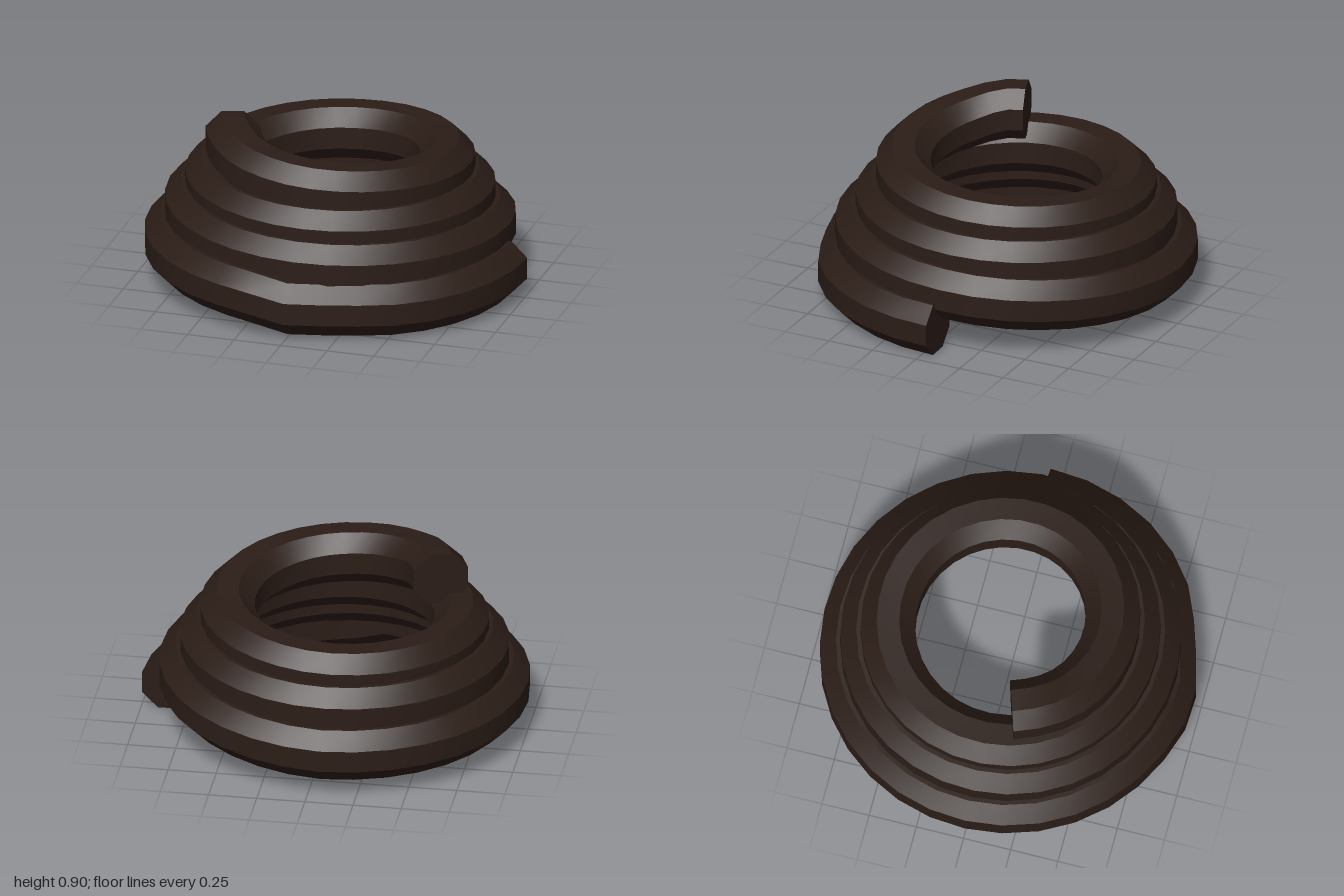
import * as THREE from 'three';
import { toCreasedNormals } from 'three/addons/utils/BufferGeometryUtils.js';

const SIDES = 8;              // octagonal rope section
const APOTHEM = 0.14;
const STEPS_PER_TURN = 32;
const START = -0.004, END = 3.45;   // in turns, from +x towards +z
const CENTRE_X = -0.026, CENTRE_Z = -0.03;

// Height of the rope's centre line: [turn, y]
const HEIGHT = [
  [-0.01, 0.14], [0.1, 0.147], [0.245, 0.16], [0.28, 0.2], [0.5, 0.215], [0.75, 0.225],
  [1, 0.31], [1.25, 0.355], [1.5, 0.4], [1.75, 0.42], [2, 0.465], [2.25, 0.5],
  [2.5, 0.535], [2.75, 0.565], [3, 0.62], [3.25, 0.685], [3.35, 0.72], [3.41, 0.758], [3.46, 0.76],
];

// Coil radius: a loose first quarter turn, then a steady inward spiral
const RADIUS = [
  [-0.01, 0.882], [0.08, 0.878], [0.143, 0.868], [0.2, 0.828], [0.245, 0.86],
  [0.28, 0.868], [0.31, 0.854], [0.5, 0.835], [3.46, 0.525],
];

function sample(knots, t) {
  let i = 0;
  while (i < knots.length - 2 && t > knots[i + 1][0]) i++;
  const [t0, v0] = knots[i], [t1, v1] = knots[i + 1];
  return THREE.MathUtils.mapLinear(t, t0, t1, v0, v1);
}

// Sweep the octagon along the spiral and close both ends
function coilGeometry() {
  const steps = Math.round((END - START) * STEPS_PER_TURN);
  const corner = APOTHEM / Math.cos(Math.PI / SIDES);
  const points = [], index = [];

  const addPoint = (t, u, v) => {
    const a = t * Math.PI * 2;
    const r = sample(RADIUS, t) + u;
    points.push(CENTRE_X + r * Math.cos(a), sample(HEIGHT, t) + v, CENTRE_Z + r * Math.sin(a));
  };

  for (let i = 0; i <= steps; i++) {
    const t = START + (END - START) * i / steps;
    for (let j = 0; j < SIDES; j++) {
      const b = (j + 0.5) / SIDES * Math.PI * 2;
      addPoint(t, corner * Math.cos(b), corner * Math.sin(b));
    }
  }
  for (let i = 0; i < steps; i++) {
    for (let j = 0; j < SIDES; j++) {
      const a = i * SIDES + j, b = i * SIDES + (j + 1) % SIDES;
      index.push(a, b, a + SIDES, b, b + SIDES, a + SIDES);
    }
  }

  // Flat end caps
  const first = points.length / 3, last = first + 1, ring = steps * SIDES;
  addPoint(START, 0, 0);
  addPoint(END, 0, 0);
  for (let j = 0; j < SIDES; j++) {
    const k = (j + 1) % SIDES;
    index.push(first, k, j, last, ring + j, ring + k);
  }

  const geometry = new THREE.BufferGeometry();
  geometry.setAttribute('position', new THREE.Float32BufferAttribute(points, 3));
  geometry.setIndex(index);
  return toCreasedNormals(geometry, 0.6);
}

export function createModel() {
  const group = new THREE.Group();
  group.name = 'ropeCoil';
  const rope = new THREE.Mesh(coilGeometry(), new THREE.MeshStandardMaterial({ color: 0x2b1d17 }));
  rope.name = 'coiledRope';
  group.add(rope);
  return group;
}
